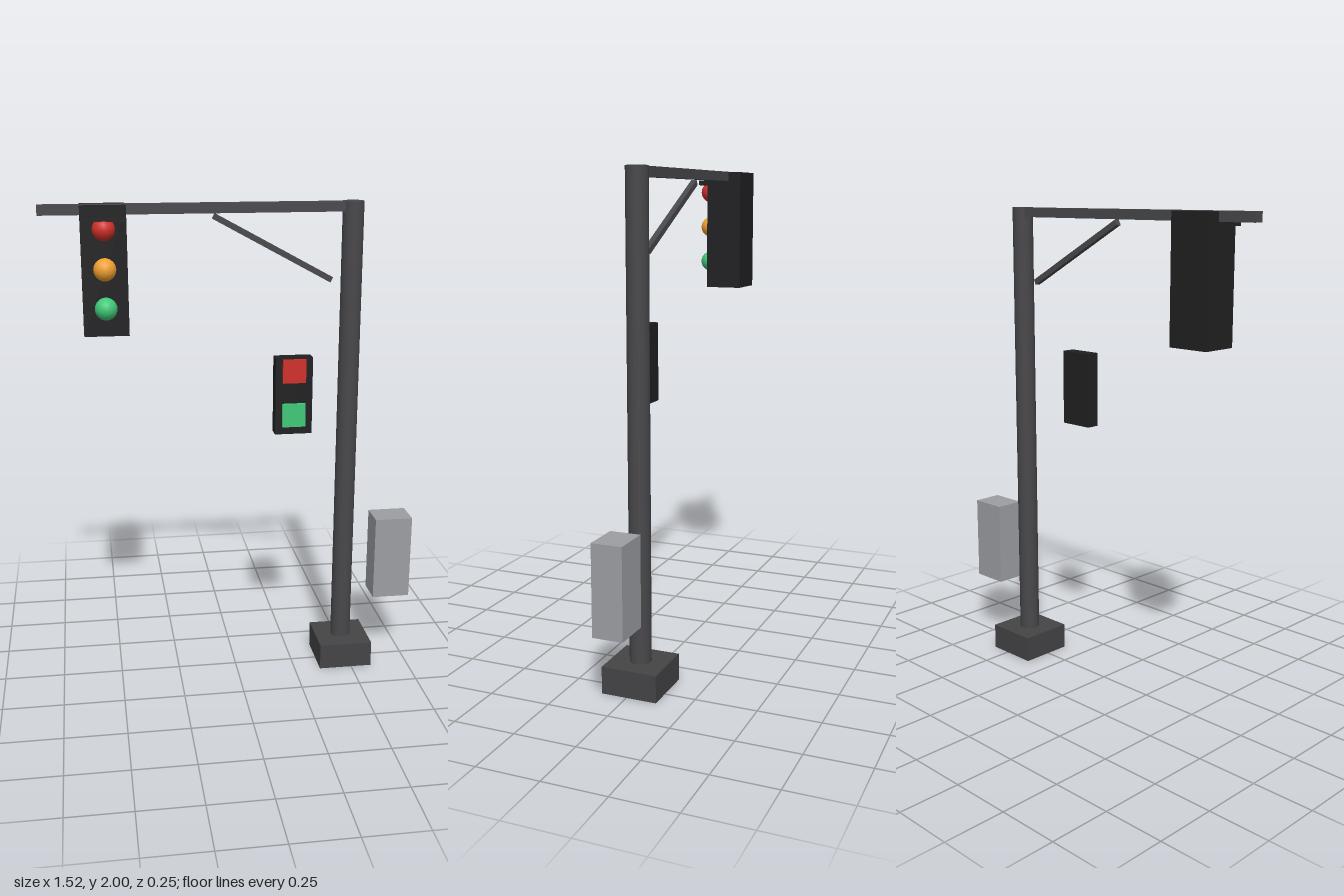
import * as THREE from 'three';

const paint = (color) => new THREE.MeshStandardMaterial({ color });

export function createModel() {
  const model = new THREE.Group();
  model.name = 'trafficLight';

  const steel = paint(0x48484c);
  const concrete = paint(0x444446);
  const black = paint(0x202022);
  const grey = paint(0x9c9ea2);
  const red = paint(0xd0302a);
  const amber = paint(0xf0a030);
  const green = paint(0x40c878);

  const add = (name, geometry, material, x, y, z) => {
    const mesh = new THREE.Mesh(geometry, material);
    mesh.name = name;
    mesh.position.set(x, y, z);
    model.add(mesh);
    return mesh;
  };
  // Box given by its low and high limits on each axis
  const box = (name, material, [x0, x1], [y0, y1], [z0, z1]) =>
    add(name, new THREE.BoxGeometry(x1 - x0, y1 - y0, z1 - z0), material,
      (x0 + x1) / 2, (y0 + y1) / 2, (z0 + z1) / 2);

  const poleX = 0.473, poleZ = -0.01;

  // Footing, pole and overhead arm
  box('base', concrete, [0.36, 0.587], [0, 0.11], [-0.124, 0.104]);
  add('pole', new THREE.CylinderGeometry(0.043, 0.043, 1.89, 16), steel, poleX, 1.055, poleZ);
  box('arm', steel, [-0.763, poleX], [1.96, 1.999], [poleZ - 0.021, poleZ + 0.021]);

  // Diagonal brace under the arm
  const from = new THREE.Vector2(-0.085, 1.948);
  const to = new THREE.Vector2(0.39, 1.69);
  const span = to.clone().sub(from);
  const brace = add('brace', new THREE.BoxGeometry(span.length(), 0.023, 0.023), steel,
    (from.x + to.x) / 2, (from.y + to.y) / 2, poleZ);
  brace.rotation.z = span.angle();

  // Vehicle signal with hood and three lamps
  box('signalHousing', black, [-0.603, -0.427], [1.5, 1.997], [-0.086, 0.066]);
  box('signalHood', black, [-0.595, -0.434], [1.943, 1.963], [0.06, 0.109]);
  [['redLamp', red, 1.913], ['amberLamp', amber, 1.761], ['greenLamp', green, 1.61]]
    .forEach(([name, material, y]) =>
      add(name, new THREE.SphereGeometry(0.044, 16, 12), material, -0.515, y, 0.08));

  // Pedestrian signal with two square lights
  box('walkHousing', black, [0.146, 0.297], [1.085, 1.4], [0.053, 0.11]);
  [['stopLight', red, 1.347], ['walkLight', green, 1.165]].forEach(([name, material, y]) =>
    box(name, material, [0.174, 0.268], [y - 0.048, y + 0.048], [0.1, 0.122]));

  // Control cabinet beside the pole
  box('controlCabinet', grey, [0.6, 0.76], [0.303, 0.665], [-0.071, 0.053]);

  return model;
}
